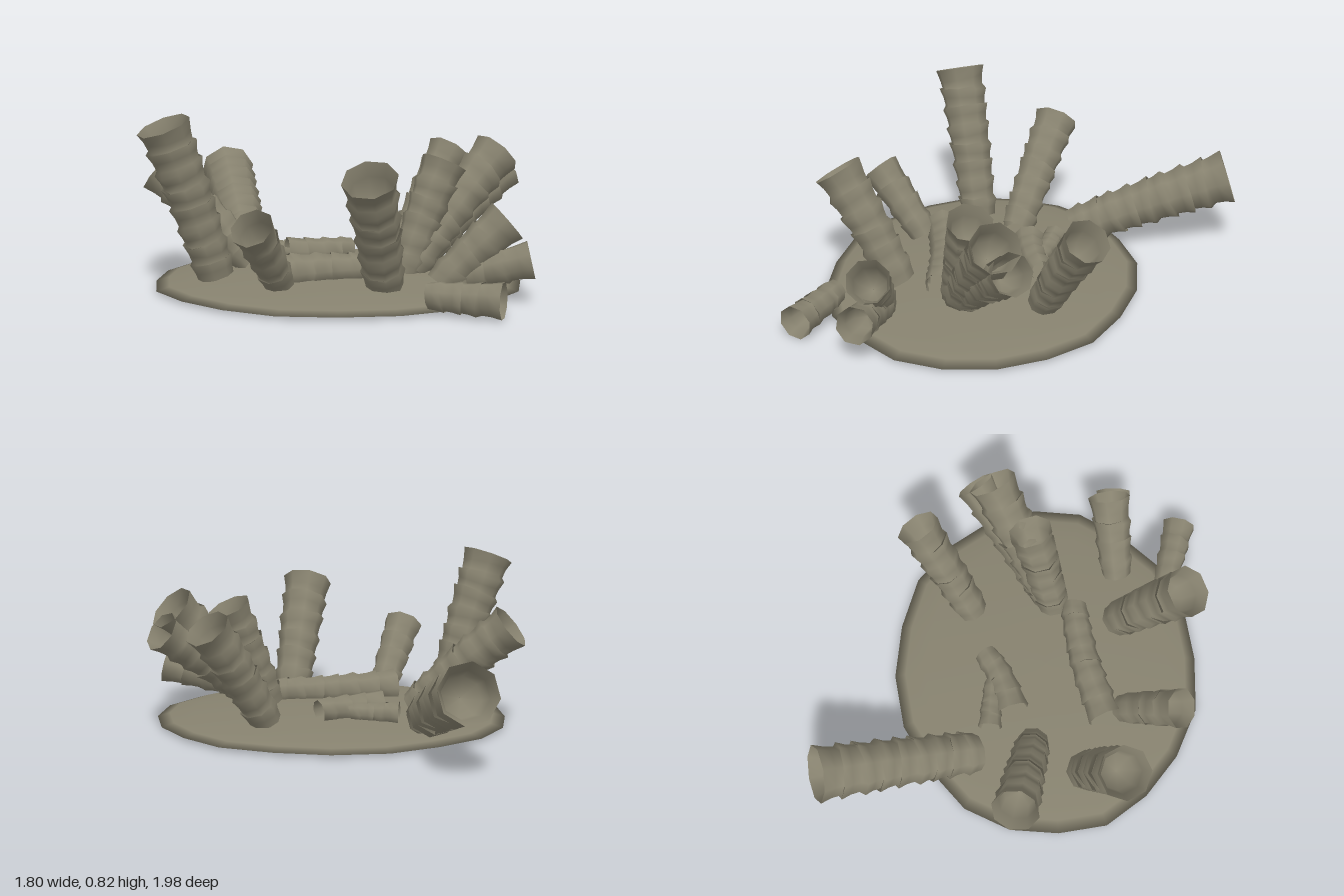
import * as THREE from 'three';

const CENTRE_X = 0.02, CENTRE_Z = 0.18, HALF_X = 0.86, HALF_Z = 0.755;

// Joins closed loops of points into one smooth strip
function addStrip(data, rows) {
  const start = data.pos.length / 3;
  const n = rows[0].length;
  rows.forEach(row => row.forEach(p => data.pos.push(p.x, p.y, p.z)));
  for (let r = 0; r < rows.length - 1; r++) {
    for (let i = 0; i < n; i++) {
      const a = start + r * n + i, b = start + r * n + (i + 1) % n;
      data.idx.push(a, a + n, b, b, a + n, b + n);
    }
  }
}

function toGeometry(data) {
  const g = new THREE.BufferGeometry();
  g.setAttribute('position', new THREE.Float32BufferAttribute(data.pos, 3));
  g.setIndex(data.idx);
  g.computeVertexNormals();
  return g;
}

// Tube of nested flared collars, ending in an open cup
function tubeGeometry(base, tip, radius, bend, seed) {
  const along = tip.clone().sub(base);
  const side = new THREE.Vector3(along.z, 0, -along.x).normalize();
  const mid = base.clone().lerp(tip, 0.5).addScaledVector(side, bend);
  mid.x -= along.x * 0.06;
  mid.z -= along.z * 0.06;
  const curve = new THREE.QuadraticBezierCurve3(base, mid, tip);
  const count = Math.max(4, Math.round(along.length() / 0.095));
  const up = new THREE.Vector3(0, 1, 0);
  const data = { pos: [], idx: [] };

  // One octagonal loop, slightly tilted about the axis
  const ring = (t, r, tilt = 0, phase = 0) => {
    const q = new THREE.Quaternion().setFromUnitVectors(up, curve.getTangent(t));
    const c = curve.getPoint(t);
    return Array.from({ length: 8 }, (_, i) => {
      const a = i / 8 * Math.PI * 2 + seed;
      return new THREE.Vector3(Math.cos(a) * r, Math.cos(a - phase) * tilt, Math.sin(a) * r)
        .applyQuaternion(q).add(c);
    });
  };

  // Collars: each flares out, then steps back in to the next
  const wall = [];
  for (let s = 0; s < count; s++) {
    const t0 = s / count, t1 = (s + 1) / count;
    const r = radius * THREE.MathUtils.lerp(0.77, 1, t1);
    const phase = seed * 2 + s * 2.1;
    wall.push(
      ring(t0, r * 0.83, 0.008, phase),
      ring(t0 + 0.45 / count, r * 0.88, 0.01, phase),
      ring(t1 - (s < count - 1 ? 0.1 / count : 0), r, s < count - 1 ? 0.014 : 0, phase),
    );
  }
  addStrip(data, wall);
  // Hollow of the end cup
  const depth = 1 / count;
  addStrip(data, [ring(1, radius), ring(1 - 0.6 * depth, radius * 0.78), ring(1 - 1.5 * depth, radius * 0.68),
    ring(1 - 1.6 * depth, 0.001)]);
  return toGeometry(data);
}

// Shallow domed shell with a slightly uneven, soft rim
function moundGeometry() {
  const loop = ([k, y]) => Array.from({ length: 20 }, (_, i) => {
    const a = i / 20 * Math.PI * 2;
    const w = k * (1 + 0.012 * Math.sin(i * 2.3));
    return new THREE.Vector3(CENTRE_X + Math.cos(a) * HALF_X * w, y, CENTRE_Z + Math.sin(a) * HALF_Z * w);
  });
  const data = { pos: [], idx: [] };
  // Hollowed underside from centre to rim, then the top from rim to crown
  addStrip(data, [
    [0.001, 0.045], [0.4, 0.04], [0.8, 0.02], [0.92, 0.004], [1, 0],
    [0.93, 0.018], [0.8, 0.033], [0.5, 0.055], [0.25, 0.063], [0.001, 0.065],
  ].map(loop));
  return toGeometry(data);
}

export function createModel() {
  const stone = new THREE.MeshStandardMaterial({ color: 0x87826f, side: THREE.DoubleSide });
  stone.name = 'grey olive stone';
  const model = new THREE.Group();
  model.name = 'tubeColony';

  const addPart = (name, geometry) => {
    const mesh = new THREE.Mesh(geometry, stone);
    mesh.name = name;
    model.add(mesh);
  };
  addPart('mound', moundGeometry());

  // Root on the mound (x, z), centre of the open end (x, y, z), end radius
  const standing = {
    backLongTube: [-0.42, -0.19, -0.565, 0.365, -0.945, 0.14],
    rightUpperTube: [-0.38, 0.09, -0.83, 0.49, -0.03, 0.115],
    rightTallTube: [-0.54, 0.32, -0.76, 0.765, 0.46, 0.125],
    frontShortTube: [-0.24, 0.54, -0.35, 0.36, 0.79, 0.1],
    frontTube: [0.23, 0.55, 0.155, 0.58, 0.85, 0.125],
    clusterUprightTube: [0.33, 0.24, 0.52, 0.555, 0.13, 0.11],
    clusterHighTube: [0.36, 0.22, 0.78, 0.58, -0.04, 0.12],
    clusterLowTube: [0.38, 0.2, 0.82, 0.48, -0.12, 0.1],
    backLeftTube: [0.33, -0.17, 0.58, 0.545, -0.41, 0.11],
    leftUpperTube: [0.48, 0.57, 0.775, 0.35, 0.54, 0.105],
    leftLowerTube: [0.5, 0.55, 0.88, 0.18, 0.58, 0.09],
  };
  Object.entries(standing).forEach(([name, [bx, bz, x, y, z, r]], i) => {
    // Roots of flatter tubes sit higher
    const reach = Math.hypot(x - bx, z - bz);
    const root = new THREE.Vector3(bx, 0.035 + 0.05 * reach / Math.hypot(reach, y), bz);
    addPart(name, tubeGeometry(root, new THREE.Vector3(x, y, z), r, 0, i * 0.37));
  });

  // Lying tubes: root (x, z), open end (x, z), height, end radius, sideways bend
  const lying = {
    lowFrontTube: [0.41, 0.81, 0.725, 0.91, 0.068, 0.085, 0],
    lyingTube: [0.32, 0.34, -0.29, 0.45, 0.095, 0.09, -0.05],
    lyingSmallTube: [0.08, -0.12, -0.22, 0, 0.095, 0.08, 0.03],
    lyingStubTube: [-0.07, -0.09, -0.3, -0.12, 0.085, 0.06, 0],
  };
  Object.entries(lying).forEach(([name, [bx, bz, x, z, y, r, bend]], i) => {
    addPart(name, tubeGeometry(new THREE.Vector3(bx, y, bz), new THREE.Vector3(x, y, z), r, bend, i * 0.53));
  });
  return model;
}
